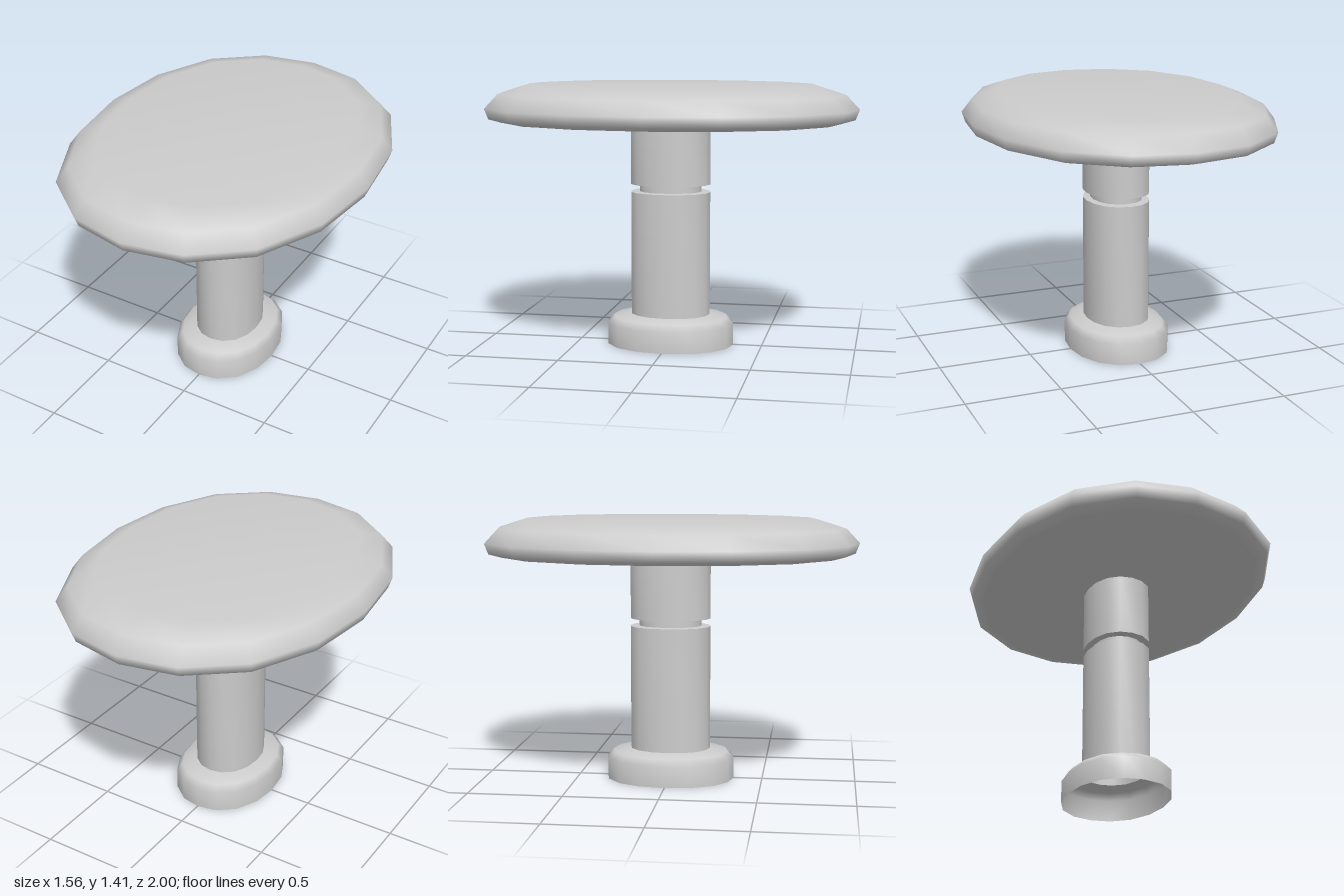
import * as THREE from 'three';
import { mergeVertices } from 'three/addons/utils/BufferGeometryUtils.js';

const SIDES = 16;
const X_RATIO = 0.78; // width relative to depth

// Turned section with a slightly squared oval plan; profile is [depth radius, y] from bottom to top
function ovalLathe(profile) {
  const geo = new THREE.LatheGeometry(profile.map(([r, y]) => new THREE.Vector2(r, y)), SIDES);
  const pos = geo.attributes.position;
  for (let i = 0; i < pos.count; i++) {
    const x = pos.getX(i), z = pos.getZ(i);
    const bulge = 1 + 0.03 * Math.sin(2 * Math.atan2(x, z)) ** 2;
    pos.setX(i, x * bulge * X_RATIO);
    pos.setZ(i, z * bulge);
  }
  geo.deleteAttribute('normal');
  geo.deleteAttribute('uv');
  const merged = mergeVertices(geo, 1e-4);
  merged.computeVertexNormals();
  return merged;
}

export function createModel() {
  const group = new THREE.Group();
  const material = new THREE.MeshStandardMaterial({ color: 0xcccccc, side: THREE.DoubleSide });

  const add = (name, profile) => {
    const mesh = new THREE.Mesh(ovalLathe(profile), material);
    mesh.name = name;
    group.add(mesh);
  };

  // Hollow foot, open underneath
  add('foot', [[0.345, 0], [0.345, 0.115], [0.31, 0.148], [0.216, 0.165]]);

  // Column in two lengths, separated by a narrow groove
  add('lowerColumn', [[0.216, 0.16], [0.216, 0.83]]);
  add('lowerLedge', [[0.216, 0.83], [0.168, 0.833]]);
  add('grooveNeck', [[0.168, 0.83], [0.168, 0.872]]);
  add('upperLedge', [[0.168, 0.87], [0.216, 0.872]]);
  add('upperColumn', [[0.216, 0.872], [0.216, 1.207]]);

  // Table top: flat underside, rounded rim and top
  add('topUnderside', [[0, 1.207], [0.91, 1.207]]);
  add('tableTop', [[0.91, 1.207], [0.978, 1.225], [1, 1.28], [0.93, 1.355], [0.78, 1.403], [0, 1.408]]);

  return group;
}
